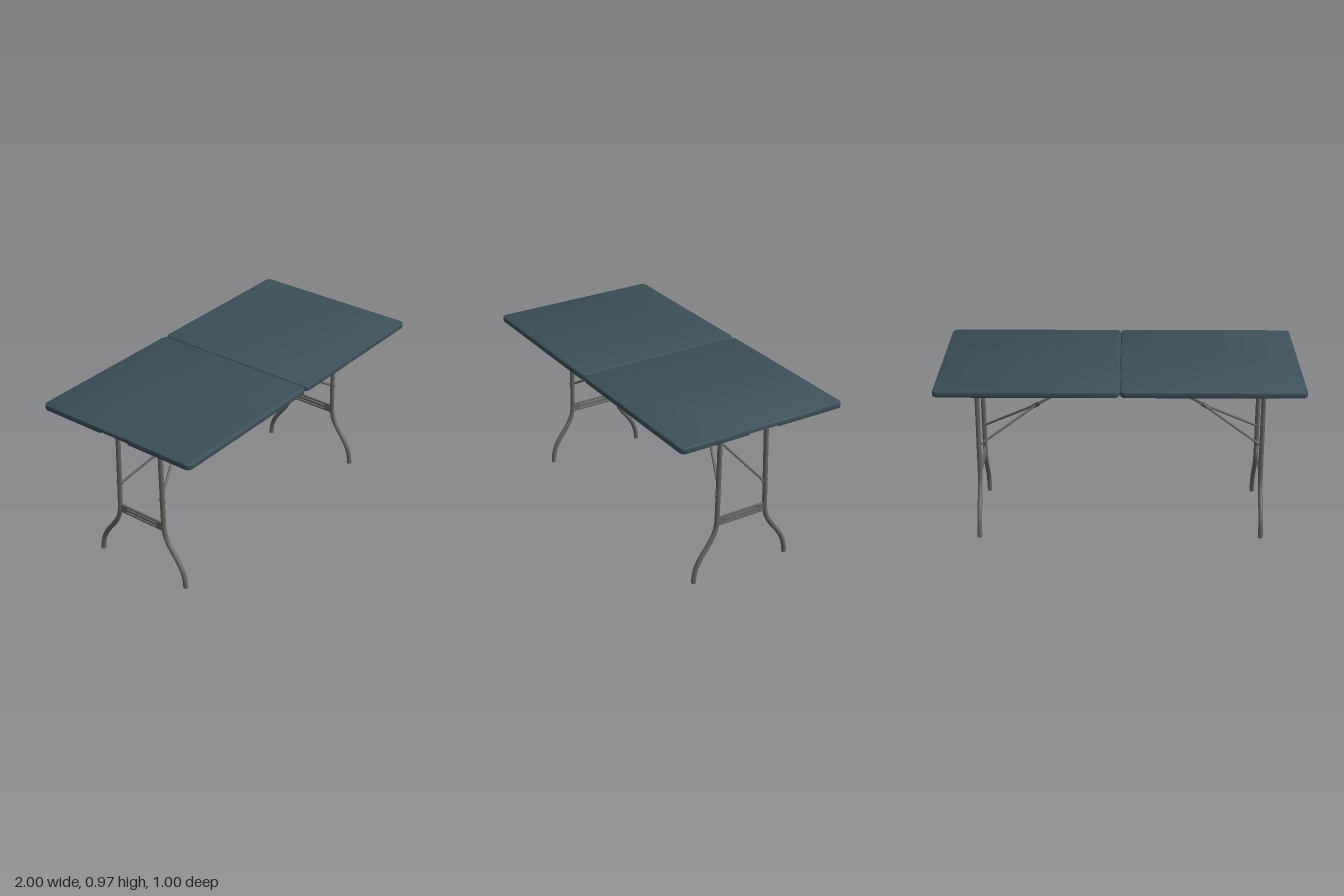
import * as THREE from 'three';
import { toCreasedNormals } from 'three/addons/utils/BufferGeometryUtils.js';

const topMat = new THREE.MeshStandardMaterial({ color: 0x3c4f58 });
topMat.name = 'slate blue plastic';
const metalMat = new THREE.MeshStandardMaterial({ color: 0x636663 });
metalMat.name = 'grey metal';

const V = (x, y, z) => new THREE.Vector3(x, y, z);
const LEG_X = 0.8, LEG_Z = -0.01, UNDERSIDE = 0.93;

function add(parent, name, geometry, material) {
  const mesh = new THREE.Mesh(geometry, material);
  mesh.name = name;
  parent.add(mesh);
  return mesh;
}

// Round rod between two points
function rod(parent, name, a, b, radius, material = metalMat) {
  const mesh = add(parent, name, new THREE.CylinderGeometry(radius, radius, a.distanceTo(b), 10), material);
  mesh.position.copy(a).lerp(b, 0.5);
  mesh.quaternion.setFromUnitVectors(V(0, 1, 0), b.clone().sub(a).normalize());
  return mesh;
}

// Rounded outline of one table half, with a hand notch in the outer end
function outline(inset, notched) {
  const x0 = 0.001 + inset, x1 = 1 - inset, h = 0.5 - inset, r = 0.03 - inset;
  const pts = [];
  const corner = (cx, cz, start) => {
    for (let i = 0; i <= 6; i++) {
      const a = start + (i / 6) * Math.PI / 2;
      pts.push(new THREE.Vector2(cx + r * Math.cos(a), cz + r * Math.sin(a)));
    }
  };
  corner(x1 - r, -h + r, -Math.PI / 2);
  const nx = notched ? 0.978 : x1;
  for (const [x, z] of [[x1, -0.096], [nx, -0.096], [nx, 0.096], [x1, 0.096]]) pts.push(new THREE.Vector2(x, z));
  corner(x1 - r, h - r, 0);
  corner(x0 + r, h - r, Math.PI / 2);
  corner(x0 + r, -h + r, Math.PI);
  return pts;
}

// Slab lofted through stacked outlines: [height, inset, notched]
function slabGeometry() {
  const levels = [
    [0.928, 0.012, true], [0.934, 0.002, true], [0.944, 0, true],
    [0.944, 0, false], [0.955, 0, false], [0.962, 0.002, false], [0.965, 0.007, false],
  ];
  const rings = levels.map(([, inset, notched]) => outline(inset, notched));
  const n = rings[0].length, positions = [], index = [];
  rings.forEach((ring, j) => ring.forEach((p) => positions.push(p.x, levels[j][0], p.y)));
  for (let j = 0; j < rings.length - 1; j++) {
    for (let i = 0; i < n; i++) {
      const a = j * n + i, b = j * n + (i + 1) % n;
      index.push(a, a + n, b + n, a, b + n, b);
    }
  }
  const last = (rings.length - 1) * n;
  for (const [a, b, c] of THREE.ShapeUtils.triangulateShape(rings[0], [])) index.push(a, b, c);
  for (const [a, b, c] of THREE.ShapeUtils.triangulateShape(rings[rings.length - 1], [])) {
    index.push(last + a, last + c, last + b);
  }
  const g = new THREE.BufferGeometry();
  g.setAttribute('position', new THREE.Float32BufferAttribute(positions, 3));
  g.setIndex(index);
  return toCreasedNormals(g, 0.6);
}

// Slotted plate joining the two legs
function crossPlateGeometry() {
  const rect = (path, x0, y0, x1, y1) => {
    path.moveTo(x0, y0);
    path.lineTo(x1, y0);
    path.lineTo(x1, y1);
    path.lineTo(x0, y1);
    path.closePath();
    return path;
  };
  const shape = rect(new THREE.Shape(), -0.148, 0.313, 0.148, 0.362);
  for (const y of [0.322, 0.344]) shape.holes.push(rect(new THREE.Path(), -0.106, y, 0.106, y + 0.009));
  const g = new THREE.ExtrudeGeometry(shape, { depth: 0.012, bevelEnabled: false });
  return g.translate(0, 0, -0.006).rotateY(Math.PI / 2);
}

function legFrame(side) {
  const frame = new THREE.Group();
  const x = side * LEG_X;

  // Splayed tube legs: [half spread, height]
  const profile = [
    [0.145, 0.932], [0.15, 0.65], [0.155, 0.38], [0.157, 0.33], [0.166, 0.285], [0.184, 0.245],
    [0.214, 0.2], [0.245, 0.16], [0.268, 0.125], [0.287, 0.085], [0.298, 0.04], [0.302, 0],
  ];
  for (const d of [-1, 1]) {
    const path = new THREE.CatmullRomCurve3(profile.map(([s, y]) => V(x, y, LEG_Z + d * s)));
    add(frame, 'leg', new THREE.TubeGeometry(path, 44, 0.0135, 14), metalMat);
    rod(frame, 'foot cap', V(x, 0, LEG_Z + d * 0.302), V(x, 0.004, LEG_Z + d * 0.302), 0.0136);
    // Pivot pin and lower brace
    rod(frame, 'brace pin', V(x, 0.502, LEG_Z + d * 0.13), V(x, 0.502, LEG_Z + d * 0.172), 0.006);
    rod(frame, 'lowerBrace', V(x, 0.5, LEG_Z + d * 0.142), V(side * 0.48, 0.69, LEG_Z + d * 0.004), 0.007);
  }
  add(frame, 'crossPlate', crossPlateGeometry(), metalMat).position.set(x, 0, LEG_Z);

  // Flat upper brace running to the underside near the seam
  const joint = V(side * 0.48, 0.69, LEG_Z), anchor = V(side * 0.065, UNDERSIDE, LEG_Z);
  const bar = add(frame, 'upperBrace', new THREE.BoxGeometry(joint.distanceTo(anchor), 0.015, 0.007), metalMat);
  bar.position.copy(joint).lerp(anchor, 0.5);
  bar.rotation.z = Math.atan2(anchor.y - joint.y, anchor.x - joint.x);

  // Locking collar where the braces meet
  const dir = anchor.clone().sub(joint).normalize().multiplyScalar(0.018);
  rod(frame, 'lockingCollar', joint.clone().sub(dir), joint.clone().add(dir), 0.0125, topMat);
  return frame;
}

export function createModel() {
  const table = new THREE.Group();
  table.name = 'foldingTable';
  const slab = slabGeometry();
  for (const side of [1, -1]) {
    const label = side > 0 ? 'left' : 'right';
    const half = add(table, label + 'TopHalf', slab, topMat);
    if (side < 0) half.rotation.y = Math.PI;
    const frame = legFrame(side);
    frame.name = label + 'LegFrame';
    table.add(frame);
  }
  // Hinge strip closing the seam
  add(table, 'hingeStrip', new THREE.BoxGeometry(0.008, 0.014, 0.93), topMat).position.set(0, 0.945, 0);
  return table;
}
